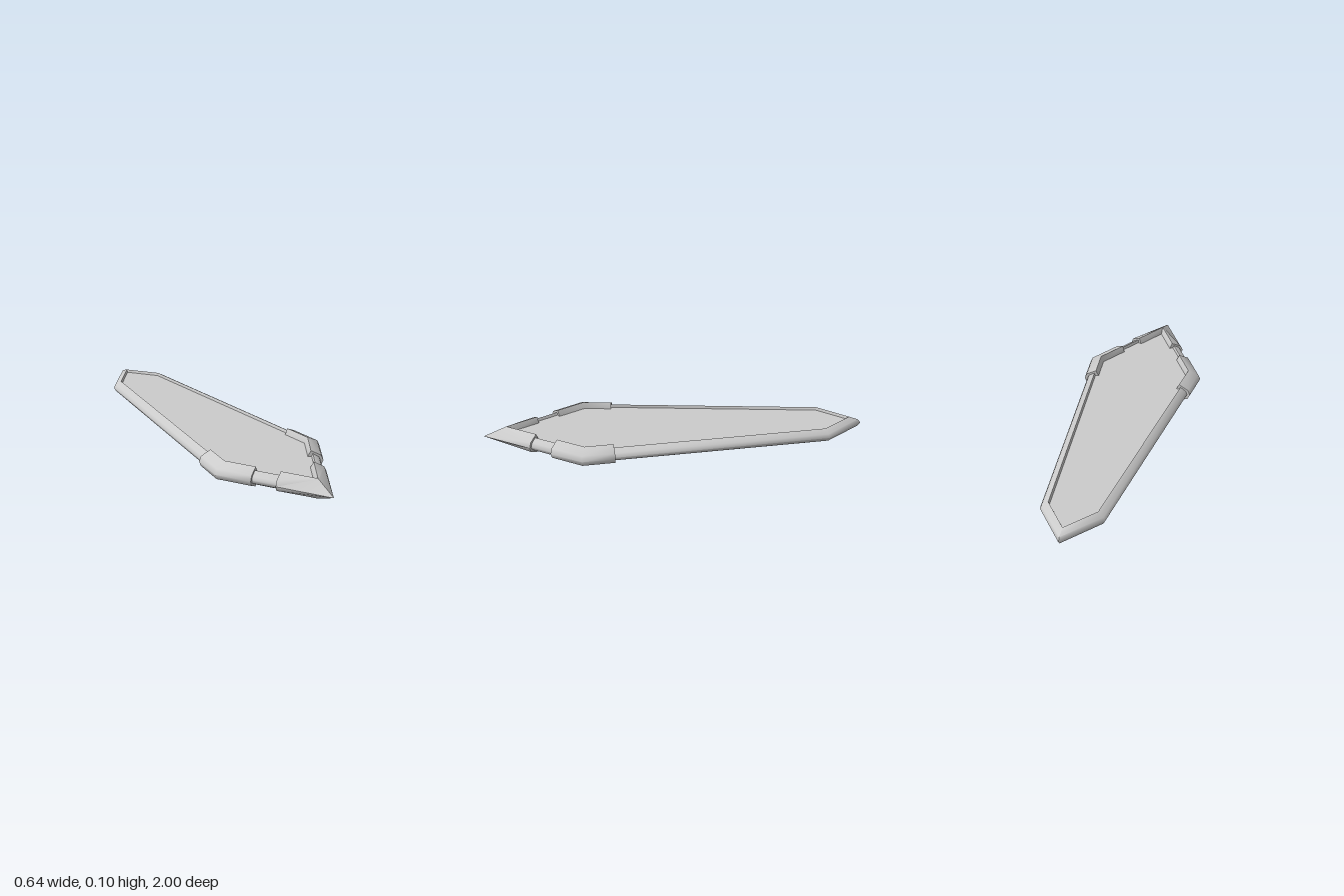
import * as THREE from 'three';
import { toCreasedNormals } from 'three/addons/utils/BufferGeometryUtils.js';

const MID = 0.0525; // height of the central plane
const material = new THREE.MeshStandardMaterial({ color: 0xcccccc });

// Mitred inward direction at each point of an outline in the xz plane
function mitres(path, closed) {
  const n = path.length;
  const normal = (a, b) => {
    const dx = b[0] - a[0], dz = b[1] - a[1], l = Math.hypot(dx, dz);
    return [-dz / l, dx / l];
  };
  return path.map((p, i) => {
    const prev = i > 0 || closed ? normal(path[(i + n - 1) % n], p) : null;
    const next = i < n - 1 || closed ? normal(p, path[(i + 1) % n]) : null;
    const a = prev || next, b = next || prev;
    const k = 1 + a[0] * b[0] + a[1] * b[1];
    return [(a[0] + b[0]) / k, (a[1] + b[1]) / k];
  });
}

// Sweep a profile of [inward offset, height] along an outer outline;
// an outline point may carry its own profile as a third entry
function sweep(path, profile, closed) {
  const m = mitres(path, closed), n = path.length, k = profile.length;
  const positions = [], index = [];
  path.forEach(([x, z, own = profile], i) => own.forEach(([u, y]) =>
    positions.push(x + m[i][0] * u, MID + y, z + m[i][1] * u)));
  for (let i = 0; i < (closed ? n : n - 1); i++) {
    for (let j = 0; j < k; j++) {
      const i2 = ((i + 1) % n) * k, j2 = (j + 1) % k;
      const a = i * k + j, b = i * k + j2, c = i2 + j, d = i2 + j2;
      index.push(a, b, c, b, d, c);
    }
  }
  // End caps
  if (!closed) {
    const e = (n - 1) * k;
    for (let j = 1; j < k - 1; j++) index.push(0, j + 1, j, e, e + j, e + j + 1);
  }
  const g = new THREE.BufferGeometry();
  g.setAttribute('position', new THREE.Float32BufferAttribute(positions, 3));
  g.setIndex(index);
  return toCreasedNormals(g, 0.9);
}

// Complete a profile from its upper half
const mirrored = (half) => [
  ...half, ...half.slice(1).reverse().map(([u, y]) => [u, -y]),
];
const flip = (path) => path.map(([x, z]) => [-x, z]).reverse();

export function createModel() {
  const group = new THREE.Group();
  const add = (name, geometry) => {
    const mesh = new THREE.Mesh(geometry, material);
    mesh.name = name;
    group.add(mesh);
  };

  const rodProfile = mirrored([[0, 0], [0.009, 0.019], [0.04, 0.037], [0.048, 0.015]]);
  const sleeveProfile = mirrored([[0, 0], [0.012, 0.027], [0.064, 0.0525], [0.08, 0.02]]);
  // Straight-sided wedge where the front sleeve comes to a point
  const wedgeProfile = mirrored([[0, 0], [0.061, 0.05], [0.064, 0.0525], [0.08, 0.02]]);

  // Rounded rim around the whole outline
  const side = [[0.163, -0.8], [0.304, 0.49]];
  const outline = [[0, -1], ...side, [0, 0.971], ...flip(side)];
  add('rim', sweep(outline, rodProfile, true));

  // Thicker sleeves over the wide corners and the front point
  const corner = [[0.3015, 0.32], [0.32, 0.49], [0.221, 0.648]];
  add('leftCornerSleeve', sweep(corner, sleeveProfile, false));
  add('rightCornerSleeve', sweep(flip(corner), sleeveProfile, false));
  add('frontTipSleeve',
    sweep([[0.153, 0.756], [0, 1, wedgeProfile], [-0.153, 0.756]], sleeveProfile, false));

  // Flat slab filling the rim, slightly recessed on both faces
  const m = mitres(outline, true), half = 0.022;
  const inner = outline.map(([x, z], i) =>
    new THREE.Vector2(x + m[i][0] * 0.042, -(z + m[i][1] * 0.042)));
  const panel = new THREE.ExtrudeGeometry(new THREE.Shape(inner), { depth: 2 * half, bevelEnabled: false });
  panel.rotateX(-Math.PI / 2).translate(0, MID - half, 0);
  add('panel', panel);

  return group;
}
